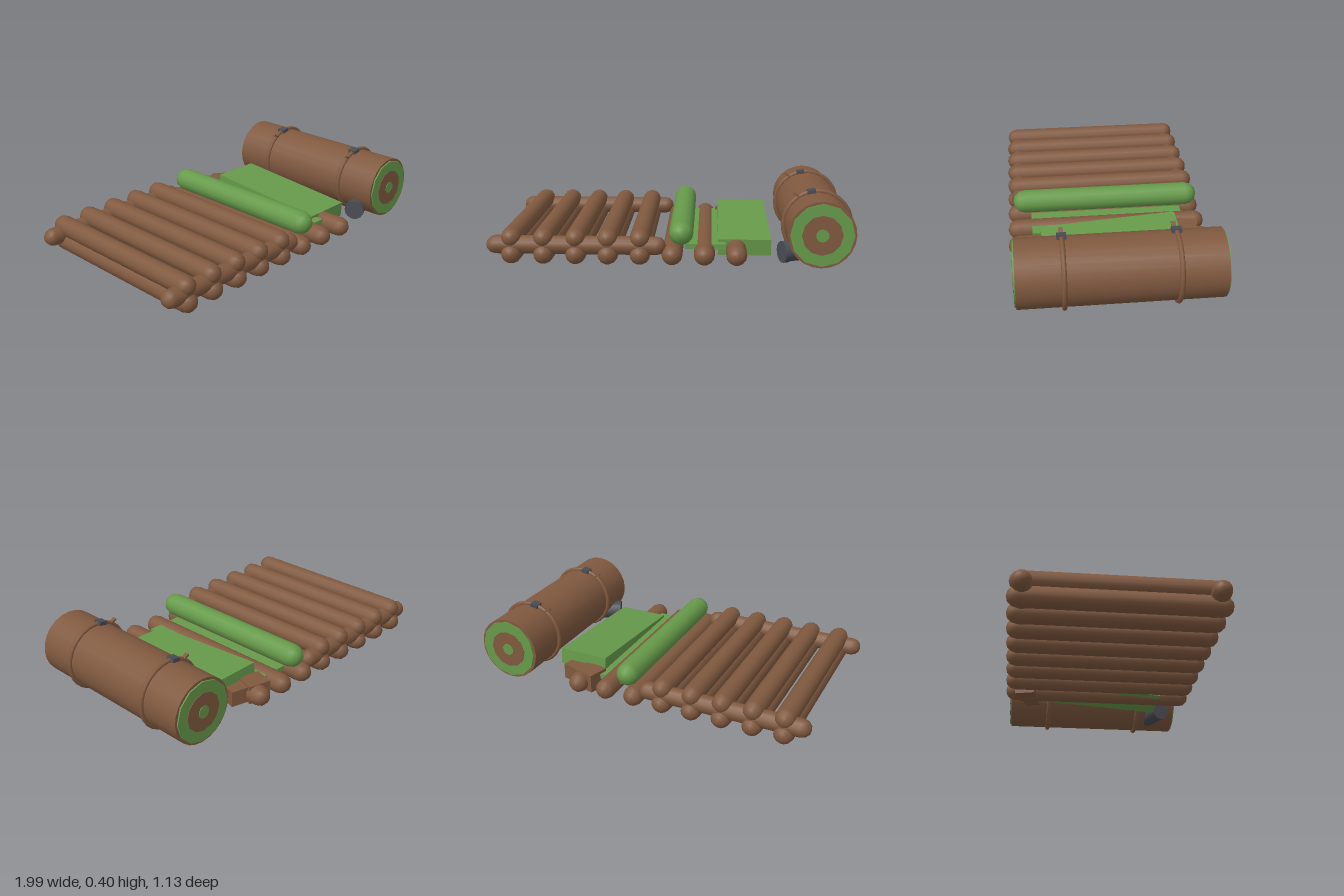
import * as THREE from 'three';

const brown = new THREE.MeshStandardMaterial({ color: 0x80593f });
const green = new THREE.MeshStandardMaterial({ color: 0x669a4a });
const dark = new THREE.MeshStandardMaterial({ color: 0x4a4d54 });

export function createModel() {
  const model = new THREE.Group();

  function add(name, geometry, material, x, y, z, parent = model) {
    const mesh = new THREE.Mesh(geometry, material);
    mesh.name = name;
    mesh.position.set(x, y, z);
    parent.add(mesh);
    return mesh;
  }
  // Round-ended log lying along z; length includes the ends
  const logZ = (r, length) =>
    new THREE.CapsuleGeometry(r, length - 2 * r, 3, 14).rotateX(Math.PI / 2);
  const cylinderZ = (r, length, sides) =>
    new THREE.CylinderGeometry(r, r, length, sides).rotateX(Math.PI / 2);

  // Lower row of eight logs, upper row of five
  const lowerLog = logZ(0.056, 1.13);
  const upperLog = logZ(0.055, 1.11);
  for (let i = 0; i < 8; i++) {
    const x = -0.862 + i * 0.173;
    add('lowerLog', lowerLog, brown, x, 0.08, 0);
    if (i < 5) add('upperLog', upperLog, brown, x, 0.166, 0);
  }

  // Cross logs between the two rows
  const crossLog = logZ(0.05, 0.97).rotateY(Math.PI / 2);
  for (const side of [-1, 1]) add('crossLog', crossLog, brown, -0.515, 0.125, side * 0.49);

  // Green roll, thin sheet and sloping padded slab
  add('greenRoll', logZ(0.066, 1.07), green, 0.05, 0.19, -0.005);
  add('groundSheet', new THREE.BoxGeometry(0.22, 0.028, 0.87), green, 0.18, 0.106, -0.005);
  const slab = add('slab', new THREE.BoxGeometry(0.29, 0.09, 0.76), green, 0.395, 0.117, 0);
  slab.rotation.x = 0.072;

  // Pair of brown blocks behind the slab, turned slightly
  const blocks = new THREE.Group();
  blocks.name = 'blocks';
  blocks.position.set(0.36, 0.085, -0.425);
  blocks.rotation.y = -0.26;
  model.add(blocks);
  add('largeBlock', new THREE.BoxGeometry(0.13, 0.105, 0.12), brown, -0.045, 0, 0, blocks);
  add('smallBlock', new THREE.BoxGeometry(0.1, 0.09, 0.09), brown, 0.07, 0, 0, blocks);

  // Large bedroll with layered end discs
  const bedroll = new THREE.Group();
  bedroll.name = 'bedroll';
  bedroll.position.set(0.795, 0.203, 0);
  model.add(bedroll);
  add('bedrollBody', cylinderZ(0.181, 1.06, 24), brown, 0, 0, 0, bedroll);
  add('outerLayer', cylinderZ(0.17, 1.076, 12), green, 0, 0, 0, bedroll);
  add('middleLayer', cylinderZ(0.108, 1.082, 12), brown, 0, 0, 0, bedroll);
  add('innerLayer', cylinderZ(0.035, 1.088, 10), green, 0, 0, 0, bedroll);

  // Straps with buckles and loose tails
  const strap = new THREE.TorusGeometry(0.186, 0.013, 8, 28);
  for (const side of [-1, 1]) {
    const z = side * 0.29;
    add('strap', strap, brown, 0, 0, z, bedroll);
    const buckle = add('buckle', new THREE.BoxGeometry(0.045, 0.022, 0.05), dark, -0.037, 0.186, z, bedroll);
    buckle.rotation.z = 0.19;
    const tail = add('strapTail', new THREE.BoxGeometry(0.06, 0.01, 0.024), brown, -0.108, 0.16, z, bedroll);
    tail.rotation.z = -0.5;
  }

  // Dark canister lying against the bedroll
  const canister = new THREE.Group();
  canister.name = 'canister';
  canister.position.set(0.685, 0.083, 0.397);
  canister.rotation.y = 0.4;
  model.add(canister);
  const tube = (r, length) => new THREE.CylinderGeometry(r, r, length, 16).rotateZ(Math.PI / 2);
  add('canisterBody', tube(0.055, 0.19), dark, 0.005, 0, 0, canister);
  add('canisterLid', tube(0.059, 0.03), dark, -0.085, 0, 0, canister);

  return model;
}
